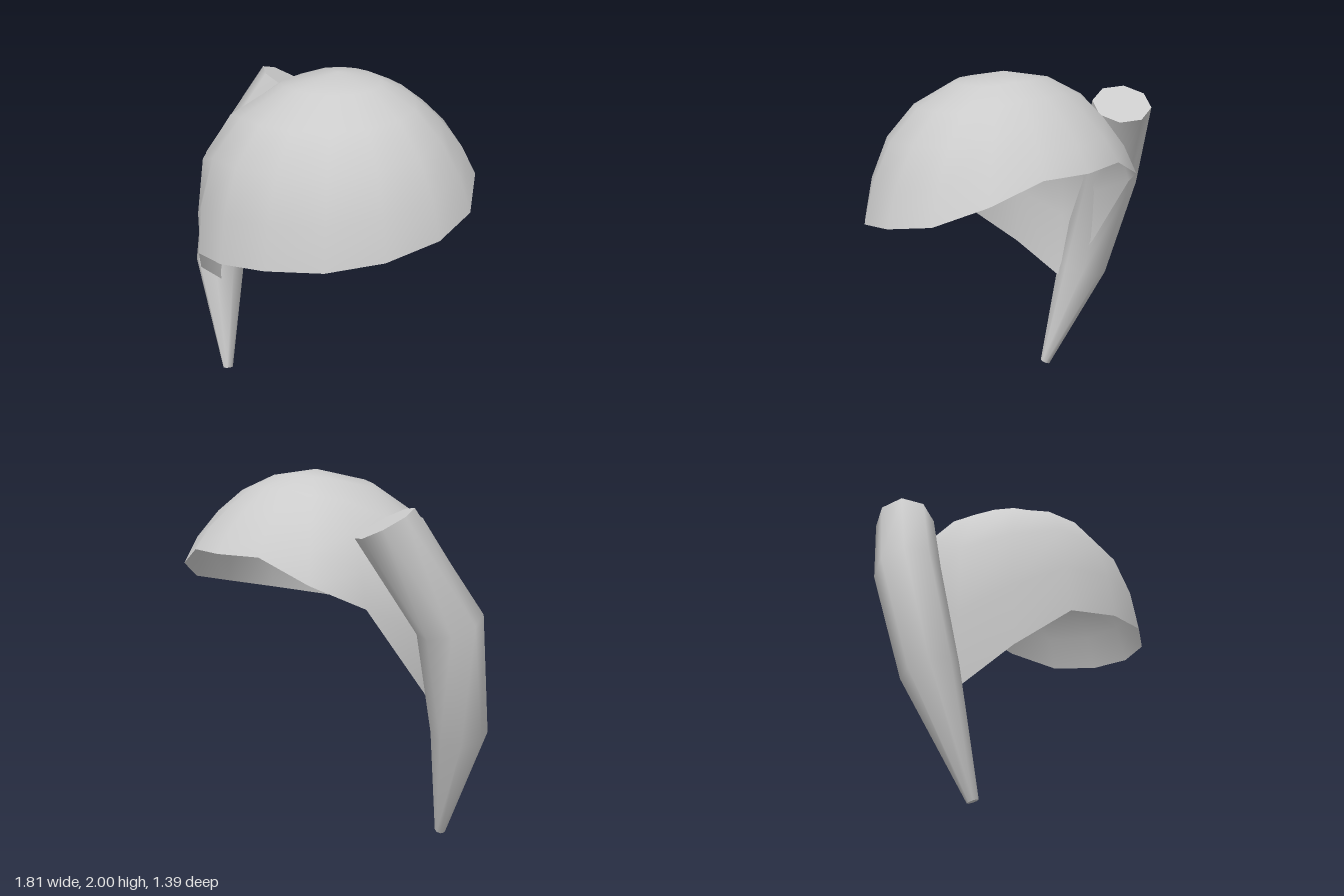
import * as THREE from 'three';

const V = (p) => new THREE.Vector3(...p);

// Skin closed rings listed from top to bottom; an optional tip closes the top ring.
function loft(rings, tip) {
  const n = rings[0].length, points = rings.flat(), index = [];
  for (let k = 0; k < n; k++) {
    const m = (k + 1) % n;
    for (let j = 0; j < rings.length - 1; j++) {
      const a = j * n + k, b = j * n + m, c = b + n, d = a + n;
      index.push(a, b, c, a, c, d);
    }
    if (tip) index.push(points.length, m, k);
  }
  if (tip) points.push(tip);
  const g = new THREE.BufferGeometry().setFromPoints(points);
  g.setIndex(index);
  g.computeVertexNormals();
  return g;
}

function addMesh(parent, name, geometry) {
  const material = new THREE.MeshStandardMaterial({ color: 0xcccccc, side: THREE.DoubleSide });
  const mesh = new THREE.Mesh(geometry, material);
  mesh.name = name;
  parent.add(mesh);
}

// Domed cap: every rib runs from the apex to a point of the uneven rim.
function domeGeometry() {
  const apex = V([0.13, 2.0, -0.05]);
  const rim = [
    [0.91, 1.37, -0.06], [0.87, 1.31, 0.22], [0.70, 1.25, 0.47], [0.45, 1.20, 0.635],
    [0.14, 1.16, 0.695], [-0.17, 1.10, 0.64], [-0.43, 1.035, 0.48], [-0.61, 0.80, 0.23],
    [-0.665, 0.59, -0.04], [-0.60, 0.875, -0.28], [-0.40, 1.34, -0.57], [-0.15, 1.46, -0.70],
    [0.13, 1.585, -0.70], [0.40, 1.585, -0.65], [0.62, 1.585, -0.51], [0.82, 1.48, -0.32],
  ].map(V);
  // [drop, reach, extra reach on longer ribs]
  const steps = [[0.064, 0.30, 0.12], [0.22, 0.52, 0.28], [0.44, 0.70, 0.32], [0.72, 0.88, 0.16], [1, 1, 0]];
  const rings = steps.map(([drop, reach, extra]) => rim.map((p) => {
    const f = reach + extra * (apex.y - p.y - 0.42);
    return new THREE.Vector3(
      apex.x + (p.x - apex.x) * f,
      apex.y + (p.y - apex.y) * drop,
      apex.z + (p.z - apex.z) * f,
    );
  }));
  return loft(rings, apex);
}

// Ring of points round a centre, square to the axis.
function ring(centre, axis, radius, sides = 8) {
  const t = V(axis).normalize();
  const u = new THREE.Vector3(1, 0, 0).addScaledVector(t, -t.x).normalize();
  const v = u.clone().cross(t);
  return Array.from({ length: sides }, (_, k) => {
    const a = ((k + 0.5) / sides) * Math.PI * 2;
    return V(centre).addScaledVector(u, radius * Math.cos(a)).addScaledVector(v, radius * Math.sin(a));
  });
}

export function createModel() {
  const group = new THREE.Group();
  addMesh(group, 'dome', domeGeometry());

  // Bent, tapering stem with flat ends
  const stem = new THREE.Group();
  stem.name = 'stem';
  const top = [-0.46, 1.76, -0.49], foot = [-0.6, 0.014, 0.02];
  const rings = [
    ring(top, [0.45, 1, -0.28], 0.165),
    ring([-0.745, 1.25, -0.31], [0.24, 1, -0.3], 0.175),
    ring([-0.755, 0.65, -0.155], [-0.1, 1, -0.26], 0.15),
    ring(foot, [-0.25, 1, -0.28], 0.03),
  ];
  addMesh(stem, 'stemBody', loft(rings));
  addMesh(stem, 'stemTop', loft([rings[0]], V(top)));
  addMesh(stem, 'stemFoot', loft([[...rings[3]].reverse()], V(foot)));
  group.add(stem);
  return group;
}
